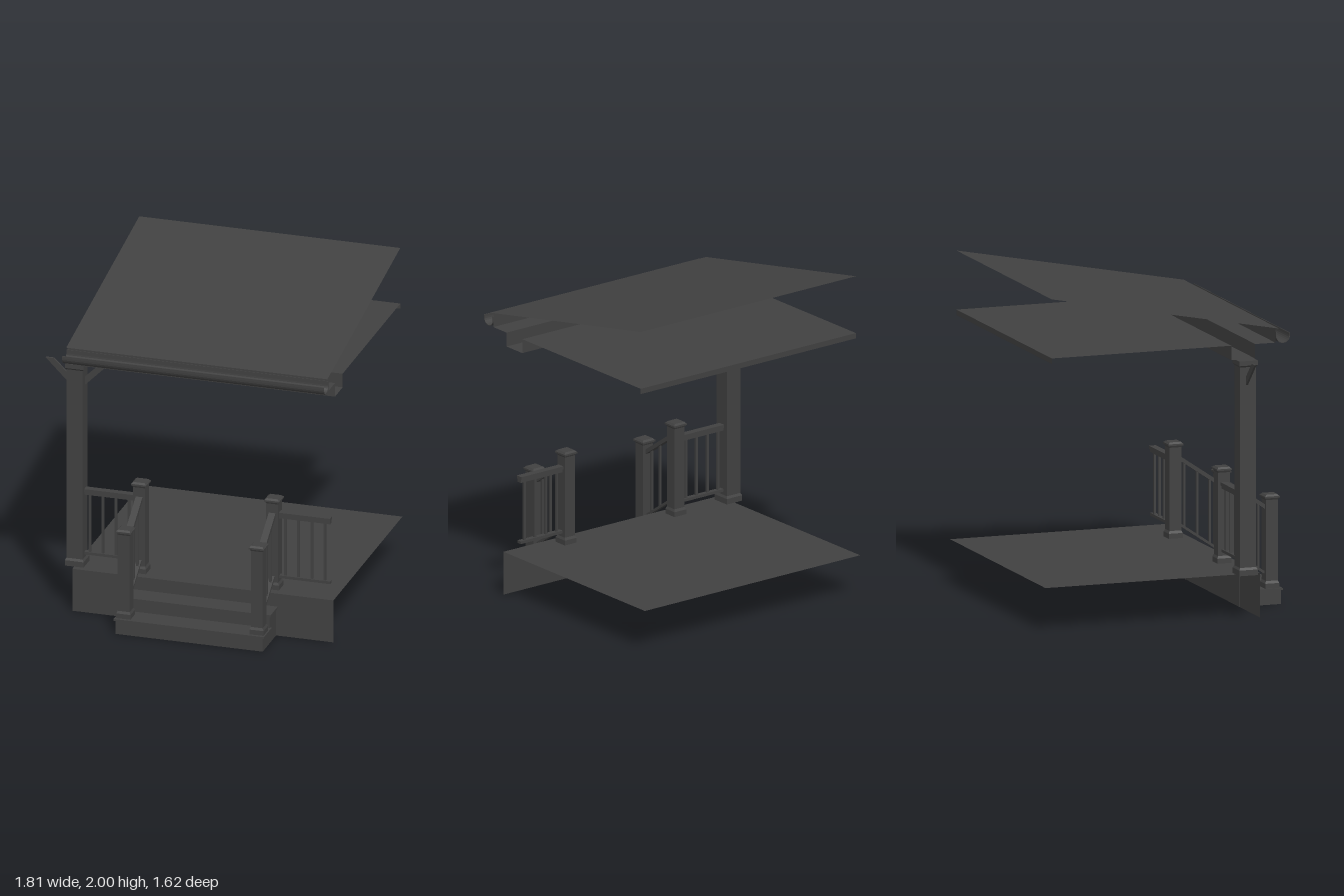
import * as THREE from 'three';

const material = new THREE.MeshStandardMaterial({ color: 0x414141, flatShading: true, side: THREE.DoubleSide });
const X0 = -0.71, X1 = 0.905;      // porch sides
const POST_X = -0.71, POST_Z = 0.447;

function add(parent, name, geometry, x = 0, y = 0, z = 0) {
  const mesh = new THREE.Mesh(geometry, material);
  mesh.name = name;
  mesh.position.set(x, y, z);
  parent.add(mesh);
  return mesh;
}

// Box given by its limits on each axis
function block(parent, name, [x0, x1], [y0, y1], [z0, z1]) {
  return add(parent, name, new THREE.BoxGeometry(x1 - x0, y1 - y0, z1 - z0),
    (x0 + x1) / 2, (y0 + y1) / 2, (z0 + z1) / 2);
}

// Square block, tapered from width w0 at y0 to width w1 at y1
function taper(parent, name, x, z, y0, y1, w0, w1 = w0) {
  const g = new THREE.CylinderGeometry(w1 / Math.SQRT2, w0 / Math.SQRT2, y1 - y0, 4, 1, false, Math.PI / 4);
  return add(parent, name, g, x, (y0 + y1) / 2, z);
}

// Thin open sheet: a [z, y] profile carried from x0 to x1
function sheet(parent, name, profile, x0 = X0, x1 = X1) {
  const pos = [];
  for (let i = 0; i + 1 < profile.length; i++) {
    const [za, ya] = profile[i], [zb, yb] = profile[i + 1];
    pos.push(x0, ya, za, x1, ya, za, x1, yb, zb, x0, ya, za, x1, yb, zb, x0, yb, zb);
  }
  const g = new THREE.BufferGeometry();
  g.setAttribute('position', new THREE.Float32BufferAttribute(pos, 3));
  g.computeVertexNormals();
  return add(parent, name, g);
}

// Solid bar: a closed [z, y] outline carried from x0 to x1
function bar(parent, name, outline, x0, x1) {
  const shape = new THREE.Shape(outline.map(([z, y]) => new THREE.Vector2(z, y)));
  const g = new THREE.ExtrudeGeometry(shape, { depth: x1 - x0, bevelEnabled: false });
  g.rotateY(-Math.PI / 2);
  return add(parent, name, g, x1, 0, 0);
}

// Newel post with flared base and low pointed cap
function newel(parent, name, x, z, y0, y1) {
  const g = new THREE.Group();
  g.name = name;
  taper(g, 'newelBase', x, z, y0, y0 + 0.03, 0.088);
  taper(g, 'newelBaseFlare', x, z, y0 + 0.03, y0 + 0.045, 0.088, 0.074);
  taper(g, 'newelShaft', x, z, y0 + 0.04, y1 - 0.025, 0.074);
  taper(g, 'newelCapMoulding', x, z, y1 - 0.032, y1 - 0.02, 0.074, 0.086);
  taper(g, 'newelCapPlate', x, z, y1 - 0.02, y1 - 0.01, 0.094);
  taper(g, 'newelCapTop', x, z, y1 - 0.01, y1, 0.088, 0.07);
  parent.add(g);
}

// Level railing between two x positions
function porchRailing(parent, name, x0, x1, balusters) {
  const g = new THREE.Group();
  g.name = name;
  block(g, 'topRail', [x0, x1], [0.717, 0.738], [POST_Z - 0.015, POST_Z + 0.015]);
  block(g, 'handRail', [x0, x1], [0.736, 0.755], [POST_Z - 0.022, POST_Z + 0.022]);
  block(g, 'bottomRail', [x0, x1], [0.335, 0.352], [POST_Z - 0.015, POST_Z + 0.015]);
  for (const x of balusters)
    block(g, 'baluster', [x - 0.007, x + 0.007], [0.345, 0.72], [POST_Z - 0.007, POST_Z + 0.007]);
  parent.add(g);
}

// Sloping railing between lower and upper newels
function stairRailing(parent, name, x) {
  const g = new THREE.Group();
  g.name = name;
  const zf = 0.712, zb = 0.482, slope = 0.68;
  const rail = (part, y, h, w) => {
    const yb = y + (zf - zb) * slope;
    bar(g, part, [[zf, y], [zb, yb], [zb, yb + h], [zf, y + h]], x - w / 2, x + w / 2);
  };
  rail('handRail', 0.572, 0.028, 0.042);
  rail('bottomRail', 0.18, 0.018, 0.03);
  for (const z of [0.675, 0.597, 0.515]) {
    const y = 0.188 + (zf - z) * slope;
    block(g, 'baluster', [x - 0.007, x + 0.007], [y, y + 0.395], [z - 0.007, z + 0.007]);
  }
  parent.add(g);
}

export function createModel() {
  const model = new THREE.Group();
  model.name = 'porch';

  // Deck with front skirt
  sheet(model, 'deck', [[-0.81, 0.268], [0.54, 0.268]]);
  sheet(model, 'deckSkirt', [[0.54, 0.268], [0.54, 0]]);

  // Steps, open underneath
  const steps = new THREE.Group();
  steps.name = 'steps';
  model.add(steps);
  const S0 = -0.36, S1 = 0.55;
  block(steps, 'lowerTread', [S0 - 0.01, S1 + 0.01], [0.085, 0.097], [0.655, 0.81]);
  block(steps, 'upperTread', [S0 - 0.01, S1 + 0.01], [0.172, 0.185], [0.537, 0.68]);
  sheet(steps, 'lowerRiser', [[0.802, 0], [0.802, 0.086]], S0, S1);
  sheet(steps, 'upperRiser', [[0.665, 0.09], [0.665, 0.175]], S0, S1);
  for (const x of [S0, S1 - 0.004])
    bar(steps, 'stepSide', [[0.537, 0], [0.802, 0], [0.802, 0.086], [0.665, 0.086], [0.665, 0.173], [0.537, 0.173]], x, x + 0.004);

  // Roof post with base, cap and braces
  const post = new THREE.Group();
  post.name = 'roofPost';
  model.add(post);
  taper(post, 'postBase', POST_X, POST_Z, 0.268, 0.302, 0.116);
  taper(post, 'postBaseFlare', POST_X, POST_Z, 0.302, 0.316, 0.116, 0.1);
  taper(post, 'postShaft', POST_X, POST_Z, 0.31, 1.53, 0.1);
  taper(post, 'postCapFlare', POST_X, POST_Z, 1.52, 1.53, 0.1, 0.116);
  taper(post, 'postCap', POST_X, POST_Z, 1.53, 1.558, 0.116);
  for (const s of [-1, 1]) {
    const shape = new THREE.Shape([[0.05, 1.413], [0.195, 1.558], [0.145, 1.558], [0.05, 1.466]]
      .map(([x, y]) => new THREE.Vector2(s * x, y)));
    add(post, 'postBrace', new THREE.ExtrudeGeometry(shape, { depth: 0.012, bevelEnabled: false }),
      POST_X, 0, POST_Z - 0.013);
  }

  // Newels and railings
  for (const x of [-0.315, 0.508]) {
    newel(model, 'upperNewel', x, POST_Z, 0.268, 0.845);
    newel(model, 'lowerNewel', x, 0.748, 0.097, 0.66);
    stairRailing(model, 'stairRailing', x);
  }
  porchRailing(model, 'rightRailing', -0.66, -0.35, [-0.63, -0.55, -0.468, -0.389]);
  porchRailing(model, 'leftRailing', 0.543, 0.86, [0.58, 0.66, 0.743, 0.823]);

  // Roof, ceiling, hollow beam and eaves
  sheet(model, 'roof', [[0.66, 1.728], [-0.77, 2]]);
  sheet(model, 'ceiling', [[0.36, 1.645], [-0.77, 1.645], [-0.77, 1.612]]);
  sheet(model, 'beam', [[0.36, 1.645], [0.36, 1.558], [0.51, 1.558], [0.51, 1.645]]);
  sheet(model, 'eaves', [[0.51, 1.645], [0.637, 1.645], [0.637, 1.73]]);

  // Gutter: thin rounded trough along the eaves
  const arc = (r) => Array.from({ length: 13 }, (_, i) => {
    const a = Math.PI * (1 + i / 12);
    return [0.683 + r * Math.cos(a), 1.685 + r * Math.sin(a)];
  });
  const outer = arc(0.044), inner = arc(0.04).reverse();
  bar(model, 'gutter', [[0.639, 1.708], ...outer, [0.727, 1.7], [0.723, 1.7], ...inner, [0.643, 1.708]], X0 - 0.005, X1);

  return model;
}
